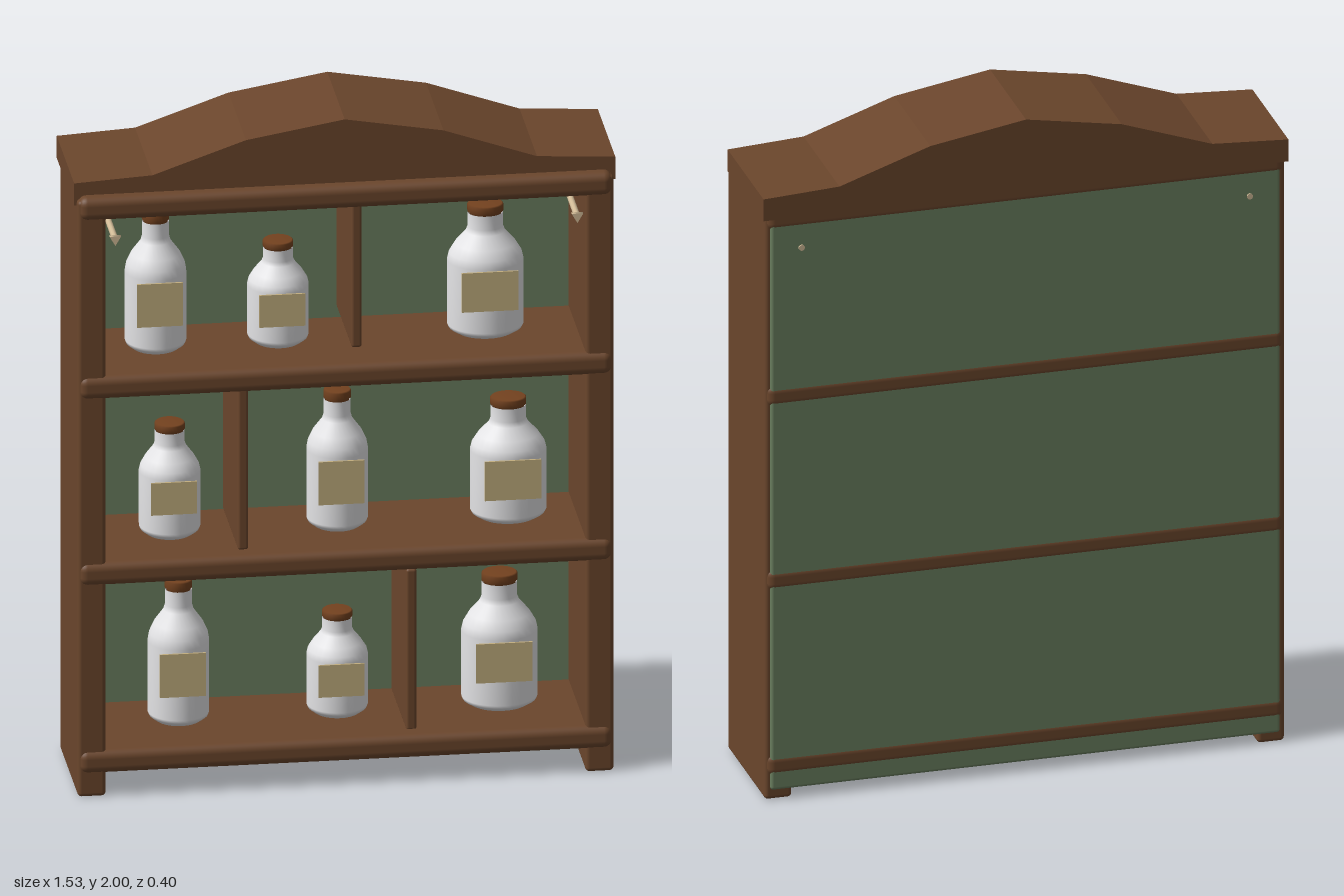
import * as THREE from 'three';
import { RoundedBoxGeometry } from 'three/addons/geometries/RoundedBoxGeometry.js';

const material = (name, color, side = THREE.FrontSide) => {
  const m = new THREE.MeshStandardMaterial({ color, side });
  m.name = name;
  return m;
};

export function createModel() {
  const root = new THREE.Group();
  root.name = 'bottleShelf';
  const wood = material('brown wood', 0x6b462c);
  const green = material('green paint', 0x6b8060);
  const glass = material('white glass', 0xe4e4e6, THREE.DoubleSide);
  const cork = material('cork brown', 0x74421f);
  const paper = material('tan paper', 0xc2ae7e);
  const peg = material('pale peg', 0xd2bc98);

  const add = (parent, name, geometry, mat, x = 0, y = 0, z = 0) => {
    const mesh = new THREE.Mesh(geometry, mat);
    mesh.name = name;
    mesh.position.set(x, y, z);
    parent.add(mesh);
    return mesh;
  };
  // Rounded board given by its lower and upper corners
  const board = (name, mat, [x0, y0, z0], [x1, y1, z1], r) =>
    add(root, name, new RoundedBoxGeometry(x1 - x0, y1 - y0, z1 - z0, 3, r), mat,
      (x0 + x1) / 2, (y0 + y1) / 2, (z0 + z1) / 2);

  // Side boards, which also form the feet
  board('leftSide', wood, [0.68, 0, -0.19], [0.76, 1.8, 0.19], 0.012);
  board('rightSide', wood, [-0.76, 0, -0.19], [-0.68, 1.8, 0.19], 0.012);

  // Back panel
  board('backPanel', green, [-0.745, 0.03, -0.198], [0.745, 1.81, -0.17], 0.01);

  // Shelves with rounded edges
  for (const y of [0.105, 0.672, 1.235, 1.775]) {
    board('shelf', wood, [-0.757, y - 0.035, -0.2], [0.757, y + 0.035, 0.2], 0.025);
  }

  // Dividers between the bottles
  for (const [x, y0, y1] of [[0.037, 1.3, 1.745], [-0.285, 0.705, 1.205], [0.192, 0.135, 0.622]]) {
    board('divider', wood, [x - 0.015, y0, -0.175], [x + 0.015, y1, 0.145], 0.008);
  }

  // Arched crown
  const half = [[0.767, 1.78], [0.767, 1.847], [0.545, 1.86], [0.28, 1.952]];
  const outline = [
    ...half, [0, 2], ...half.slice().reverse().map(([x, y]) => [-x, y]),
  ].map(([x, y]) => new THREE.Vector2(x, y));
  add(root, 'crown', new THREE.ExtrudeGeometry(new THREE.Shape(outline),
    { depth: 0.367, bevelEnabled: false }), wood, 0, 0, -0.202);

  // Hanging pegs with small pointed heads
  for (const x of [-0.655, 0.655]) {
    const rod = new THREE.CylinderGeometry(0.009, 0.009, 0.4, 10).rotateX(Math.PI / 2);
    add(root, 'pegRod', rod, peg, x, 1.685, -0.002);
    const head = new THREE.CylinderGeometry(0.019, 0.019, 0.012, 3).rotateX(Math.PI / 2);
    add(root, 'pegHead', head, peg, x, 1.685, 0.195);
  }

  // Bottle kinds: body radius, neck radius, label width, height and centre
  const kinds = {
    tall: { r: 0.087, neck: 0.038, w: 0.13, h: 0.13, at: 0.39 },
    small: { r: 0.087, neck: 0.042, w: 0.13, h: 0.097, at: 0.41 },
    wide: { r: 0.108, neck: 0.05, w: 0.16, h: 0.118, at: 0.4 },
  };
  const bottle = (kind, x, y, H) => {
    const { r, neck, w, h, at } = kinds[kind];
    const group = new THREE.Group();
    group.name = kind + 'Bottle';
    group.position.set(x, y, 0.005);
    root.add(group);
    const depth = Math.min(r, 0.095);
    const lathe = (points) => new THREE.LatheGeometry(
      points.map(([a, b]) => new THREE.Vector2(a, b)), 28).scale(1, 1, depth / r);
    add(group, 'bottleBody', lathe([
      [0, 0], [r * 0.75, 0], [r * 0.96, 0.014], [r, 0.024], [r, H * 0.56],
      [r * 0.95, H * 0.62], [r * 0.8, H * 0.69], [neck * 1.12, H * 0.78],
      [neck, H * 0.82], [neck, H * 0.93],
    ]), glass);
    // Stopper: wide collar with a slightly narrower cap
    add(group, 'stopper', lathe([
      [0, H * 0.9], [neck * 0.9, H * 0.9], [neck * 0.9, H * 0.935], [neck * 1.02, H * 0.94],
      [neck * 1.02, H * 0.99], [neck * 0.94, H], [0, H],
    ]), cork);
    add(group, 'label', new THREE.BoxGeometry(w, h, 0.006), paper, 0, H * at, depth + 0.005);
  };

  const rows = [
    [1.28, ['tall', -0.515, 0.41], ['small', -0.168, 0.305], ['wide', 0.42, 0.385]],
    [0.717, ['small', -0.475, 0.333], ['tall', 0, 0.408], ['wide', 0.485, 0.36]],
    [0.153, ['tall', -0.45, 0.422], ['small', 0, 0.305], ['wide', 0.46, 0.395]],
  ];
  for (const [y, ...bottles] of rows) {
    for (const [kind, x, H] of bottles) bottle(kind, x, y, H);
  }
  return root;
}
